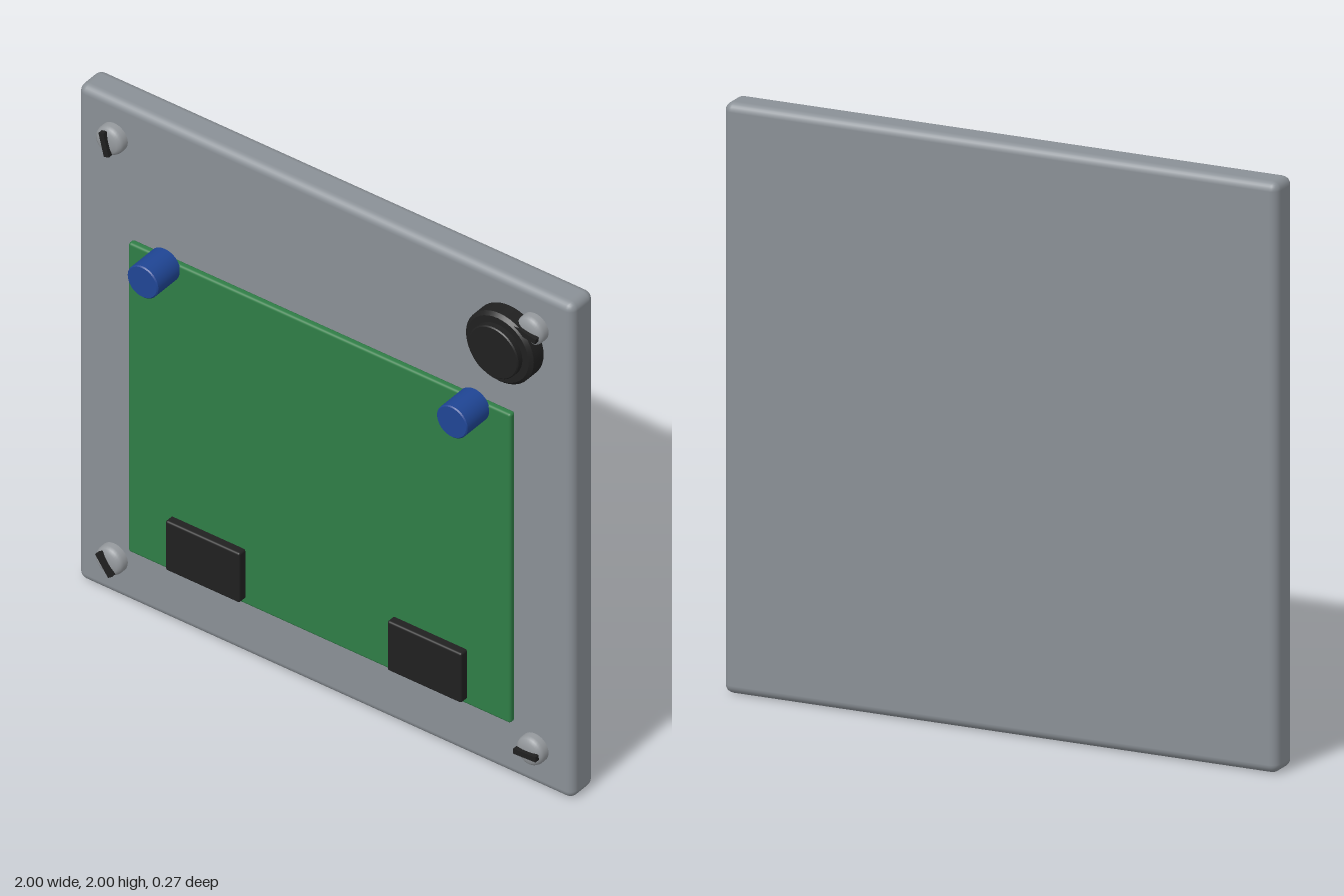
import * as THREE from 'three';
import { RoundedBoxGeometry } from 'three/addons/geometries/RoundedBoxGeometry.js';

const material = (name, color) => {
  const m = new THREE.MeshStandardMaterial({ color });
  m.name = name;
  return m;
};

export function createModel() {
  const model = new THREE.Group();
  model.name = 'controlPanel';
  const grey = material('panelGrey', 0x8a9096);
  const steel = material('screwSteel', 0x94989c);
  const green = material('boardGreen', 0x2f7d46);
  const black = material('componentBlack', 0x202020);
  const blue = material('capacitorBlue', 0x1f4594);

  const add = (name, geometry, mat, x, y, z, parent = model) => {
    const mesh = new THREE.Mesh(geometry, mat);
    mesh.name = name;
    mesh.position.set(x, y, z);
    parent.add(mesh);
    return mesh;
  };
  // Box with softened edges
  const box = (w, h, d, r) => new RoundedBoxGeometry(w, h, d, 3, r);
  // Disc facing +z, starting at z = 0, with a bevelled front rim
  const disc = (r, depth, bevel) => {
    const points = [[0, 0], [r, 0], [r, 0], [r, depth - bevel], [r, depth - bevel],
      [r - bevel, depth], [r - bevel, depth], [0, depth]];
    return new THREE.LatheGeometry(points.map(p => new THREE.Vector2(...p)), 40)
      .rotateX(Math.PI / 2);
  };

  // Back panel and circuit board
  add('backPanel', box(2, 2, 0.12, 0.03), grey, 0, 1, -0.075);
  add('circuitBoard', box(1.545, 1.25, 0.028, 0.01), green, 0, 0.855, 0.002);

  // Chips and capacitors, one on each side
  for (const side of [-1, 1]) {
    add('chip', box(0.3, 0.2, 0.04, 0.008), black, side * 0.448, 0.353, 0.028);
    add('capacitor', disc(0.062, 0.122, 0.004), blue, side * 0.625, 1.457, 0.013);
  }

  // Dial: wide base with a smaller raised cap
  add('dialBase', disc(0.137, 0.066, 0.012), black, 0.747, 1.757, -0.016);
  add('dialCap', disc(0.1, 0.026, 0.004), black, 0.747, 1.757, 0.049);

  // Corner screws: domed head with a dark slot bar
  const head = [[0.054, 0], [0.054, 0.022], [0.05, 0.034], [0.04, 0.042], [0.022, 0.046], [0, 0.047]];
  const headGeometry = new THREE.LatheGeometry(head.map(p => new THREE.Vector2(...p)), 32)
    .rotateX(Math.PI / 2);
  const slotGeometry = new THREE.BoxGeometry(0.09, 0.02, 0.018);
  const screws = [[-0.85, 1.855, 104], [0.85, 1.855, -10], [-0.85, 0.155, 126], [0.85, 0.155, 3]];
  for (const [x, y, angle] of screws) {
    const screw = new THREE.Group();
    screw.name = 'screw';
    screw.position.set(x, y, -0.016);
    screw.rotation.z = THREE.MathUtils.degToRad(angle);
    add('screwHead', headGeometry, steel, 0, 0, 0, screw);
    add('screwSlot', slotGeometry, black, 0, 0, 0.051, screw);
    model.add(screw);
  }
  return model;
}
